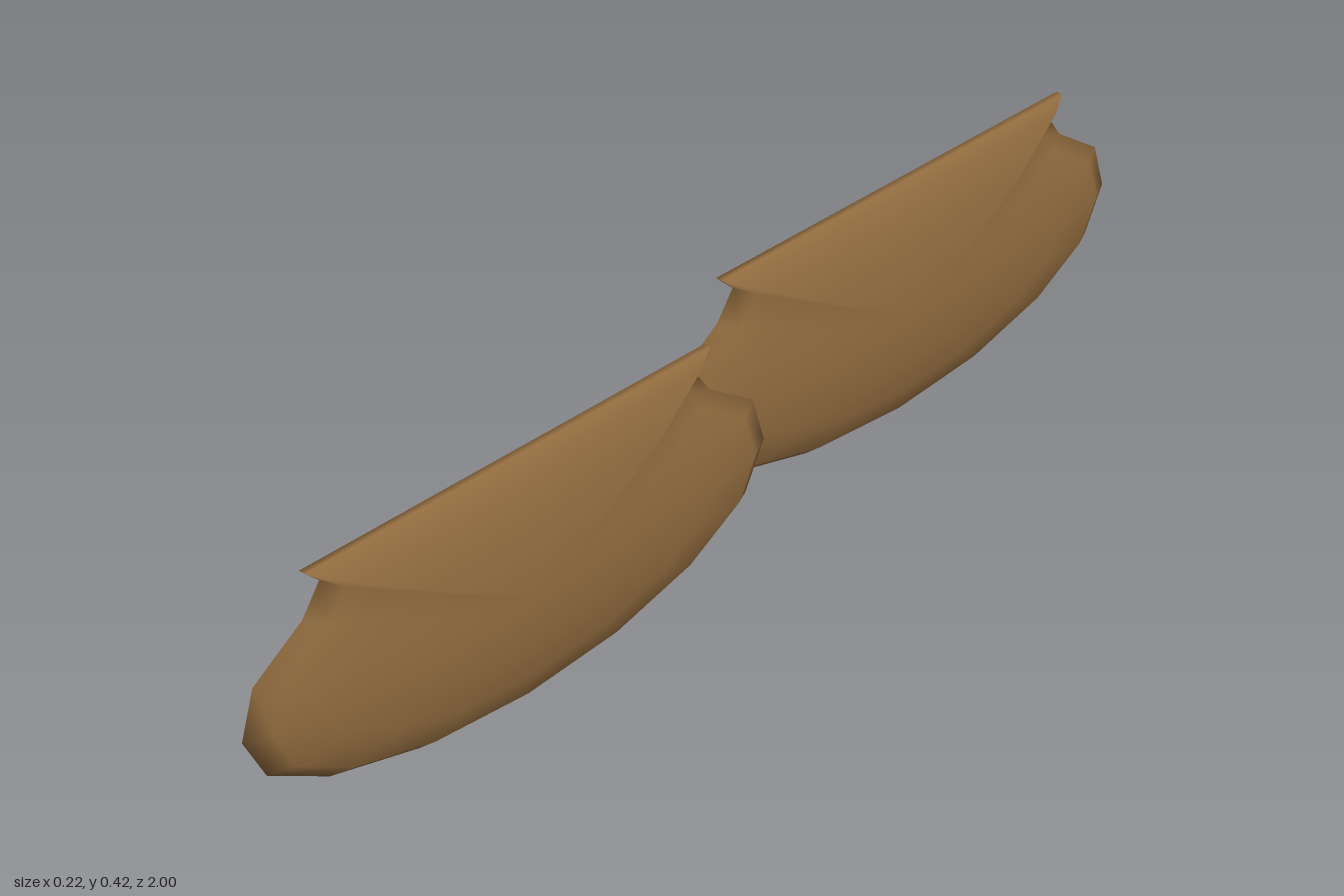
import * as THREE from 'three';
import { mergeVertices } from 'three/addons/utils/BufferGeometryUtils.js';

const HALF_WIDTH = 0.052, MID_Y = 0.2, RIM = 0.006;

// One half of the side outline, bottom to top: [z, y - MID_Y]
const half = [
  [0, -0.2], [0.2, -0.185], [0.371, -0.141], [0.485, -0.077], [0.525, 0],
  [0.5, 0.08], [0.405, 0.143], [0.37, 0.192], [0.4, 0.22],
];

// Flattened shell: the outline shrinks towards a pole on each flat side
function shellGeometry() {
  const outline = [...half, [0, 0.22], ...half.slice(1).reverse().map(([z, y]) => [-z, y])];
  const n = outline.length;
  const rings = [];
  for (const side of [-1, 1]) {
    for (let k = 0; k <= 4; k++) {
      const a = (side < 0 ? 4 - k : k) * Math.PI / 8;
      rings.push({ side, x: side * HALF_WIDTH * Math.sin(a), s: Math.cos(a), rim: Math.abs(a) < 1e-6 });
    }
  }
  const pos = [], index = [];
  for (const r of rings) {
    for (const [z, y] of outline) {
      // the straight upper edge is a narrow flat strip
      const x = r.rim && y > 0.21 ? r.side * RIM : r.x;
      pos.push(x, MID_Y + y * r.s, z * r.s);
    }
  }
  for (let i = 0; i < rings.length - 1; i++) {
    for (let j = 0; j < n; j++) {
      const a = i * n + j, b = i * n + (j + 1) % n;
      index.push(a, a + n, b, b, a + n, b + n);
    }
  }
  const g = new THREE.BufferGeometry();
  g.setAttribute('position', new THREE.Float32BufferAttribute(pos, 3));
  g.setIndex(index);
  const merged = mergeVertices(g, 1e-5);
  merged.computeVertexNormals();
  return merged;
}

export function createModel() {
  const group = new THREE.Group();
  const brown = new THREE.MeshStandardMaterial({ color: 0x8f6a3e });
  brown.name = 'brown';
  const geometry = shellGeometry();
  // Two equal shells, staggered diagonally
  for (const [name, s] of [['frontLeftShell', 1], ['backRightShell', -1]]) {
    const mesh = new THREE.Mesh(geometry, brown);
    mesh.name = name;
    mesh.position.set(0.058 * s, 0, 0.475 * s);
    group.add(mesh);
  }
  return group;
}
